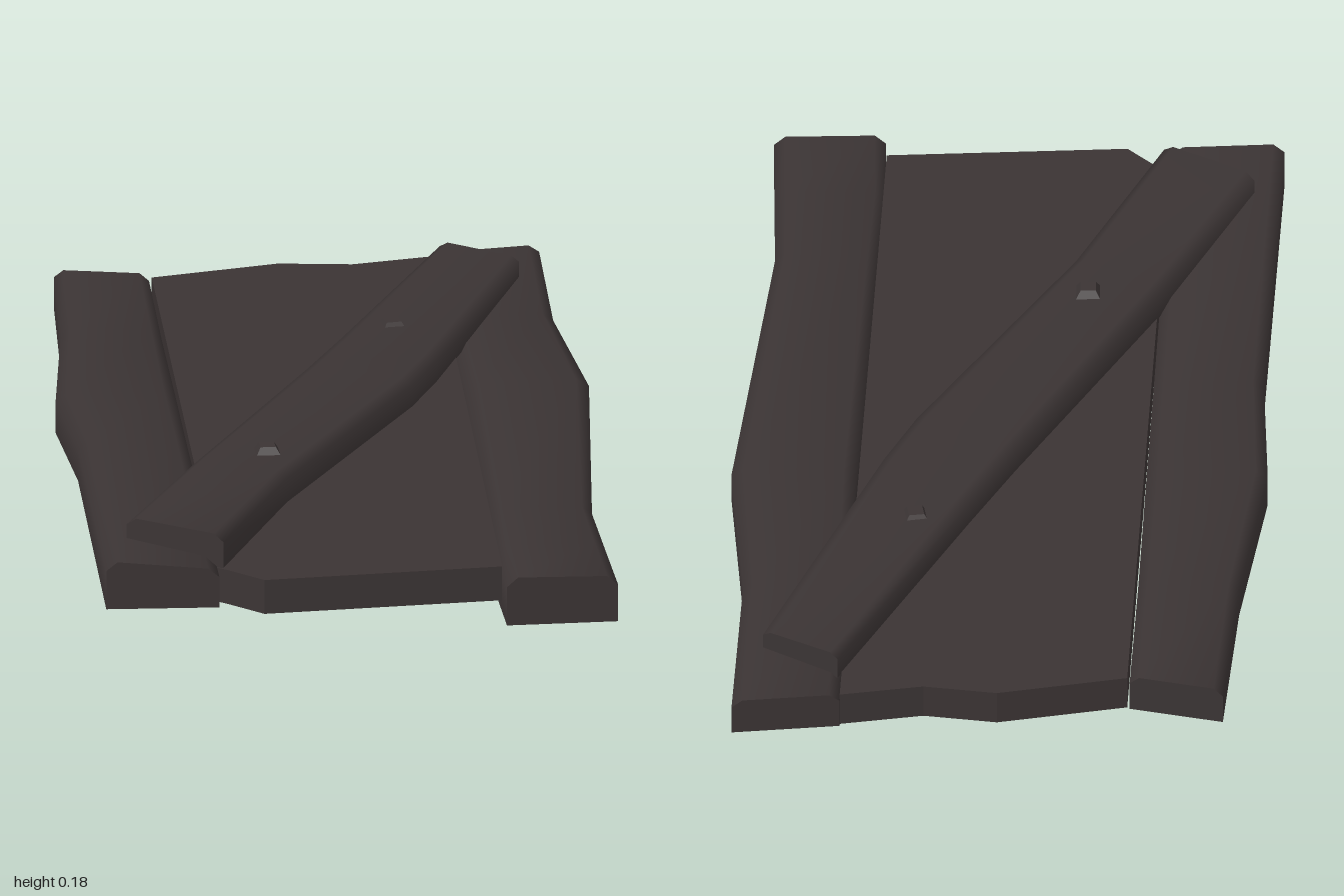
import * as THREE from 'three';
import { toCreasedNormals } from 'three/addons/utils/BufferGeometryUtils.js';

// Plank cross-section: [across, up], chamfered along the top edges
const PROFILE = [[0, 0], [0, 0.8], [0.1, 1], [0.9, 1], [1, 0.8], [1, 0]];

// Sections run back to front: [xLeft, zLeft, xRight, zRight, yBottom, yTopLeft, yTopRight]
function plankGeometry(sections) {
  const n = PROFILE.length, pos = [], idx = [];
  for (const [xl, zl, xr, zr, yb, tl, tr] of sections) {
    for (const [u, v] of PROFILE) {
      const top = tl + (tr - tl) * u;
      pos.push(xl + (xr - xl) * u, yb + (top - yb) * v, zl + (zr - zl) * u);
    }
  }
  for (let i = 0; i < sections.length - 1; i++) {
    for (let j = 0; j < n; j++) {
      const a = i * n + j, b = i * n + (j + 1) % n;
      idx.push(a, a + n, b, b, a + n, b + n);
    }
  }
  const end = (sections.length - 1) * n;
  for (let j = 1; j < n - 1; j++) {
    idx.push(0, j, j + 1);
    idx.push(end, end + j + 1, end + j);
  }
  const g = new THREE.BufferGeometry();
  g.setAttribute('position', new THREE.Float32BufferAttribute(pos, 3));
  g.setIndex(idx);
  return toCreasedNormals(g, 1.1);
}

export function createModel() {
  const group = new THREE.Group();
  const wood = new THREE.MeshStandardMaterial({ color: 0x3b3434 });
  wood.name = 'darkWood';
  const add = (name, geometry) => {
    const mesh = new THREE.Mesh(geometry, wood);
    mesh.name = name;
    group.add(mesh);
    return mesh;
  };

  // Side planks with worn, uneven outlines
  add('rightPlank', plankGeometry([
    [-0.45, -0.955, -0.26, -0.91, 0.03, 0.11, 0.11],
    [-0.48, -0.58, -0.275, -0.56, 0.03, 0.11, 0.108],
    [-0.535, -0.19, -0.288, -0.19, 0.03, 0.115, 0.108],
    [-0.525, 0.12, -0.3, 0.12, 0.035, 0.12, 0.11],
    [-0.56, 0.92, -0.33, 0.935, 0.04, 0.143, 0.122],
  ]));
  add('leftPlank', plankGeometry([
    [0.33, -0.975, 0.55, -1, 0.03, 0.108, 0.108],
    [0.315, -0.58, 0.53, -0.58, 0.03, 0.108, 0.108],
    [0.302, -0.18, 0.557, -0.18, 0.03, 0.106, 0.105],
    [0.265, 0.58, 0.475, 0.58, 0.012, 0.104, 0.102],
    [0.25, 0.8, 0.477, 0.8, 0.005, 0.104, 0.102],
    [0.252, 1, 0.48, 1, 0, 0.103, 0.098],
  ]));

  // Wide middle board with broken ends, drawn as [x, z]
  const outline = [[-0.255, -0.905], [0.01, -0.96], [0.16, -0.938], [0.33, -0.968],
    [0.298, -0.2], [0.25, 0.93], [-0.24, 0.957], [-0.31, 0.885], [-0.34, 0.86], [-0.305, 0.36]];
  const shape = new THREE.Shape(outline.map(([x, z]) => new THREE.Vector2(x, -z)));
  const board = new THREE.ExtrudeGeometry(shape, { depth: 0.073, bevelEnabled: false });
  board.rotateX(-Math.PI / 2);
  add('middleBoard', board).position.y = 0.03;

  // Diagonal brace laid across the top
  add('diagonalBrace', plankGeometry([
    [0.335, -0.905, 0.487, -0.81, 0.1, 0.158, 0.15],
    [0.07, -0.36, 0.245, -0.2, 0.1, 0.162, 0.16],
    [-0.02, -0.18, 0.18, -0.06, 0.1, 0.164, 0.162],
    [-0.31, 0.37, -0.14, 0.49, 0.1, 0.17, 0.168],
    [-0.5, 0.76, -0.315, 0.875, 0.1, 0.181, 0.174],
  ]));

  // Square nail heads
  for (const [x, y, z, turn] of [[-0.165, 0.172, 0.36, 0], [0.18, 0.157, -0.41, 0.15]]) {
    const head = new THREE.CylinderGeometry(0.022, 0.04, 0.022, 4).rotateY(Math.PI / 4);
    const nail = add('nailHead', toCreasedNormals(head, 0.3));
    nail.position.set(x, y, z);
    nail.rotation.y = turn;
  }
  return group;
}
